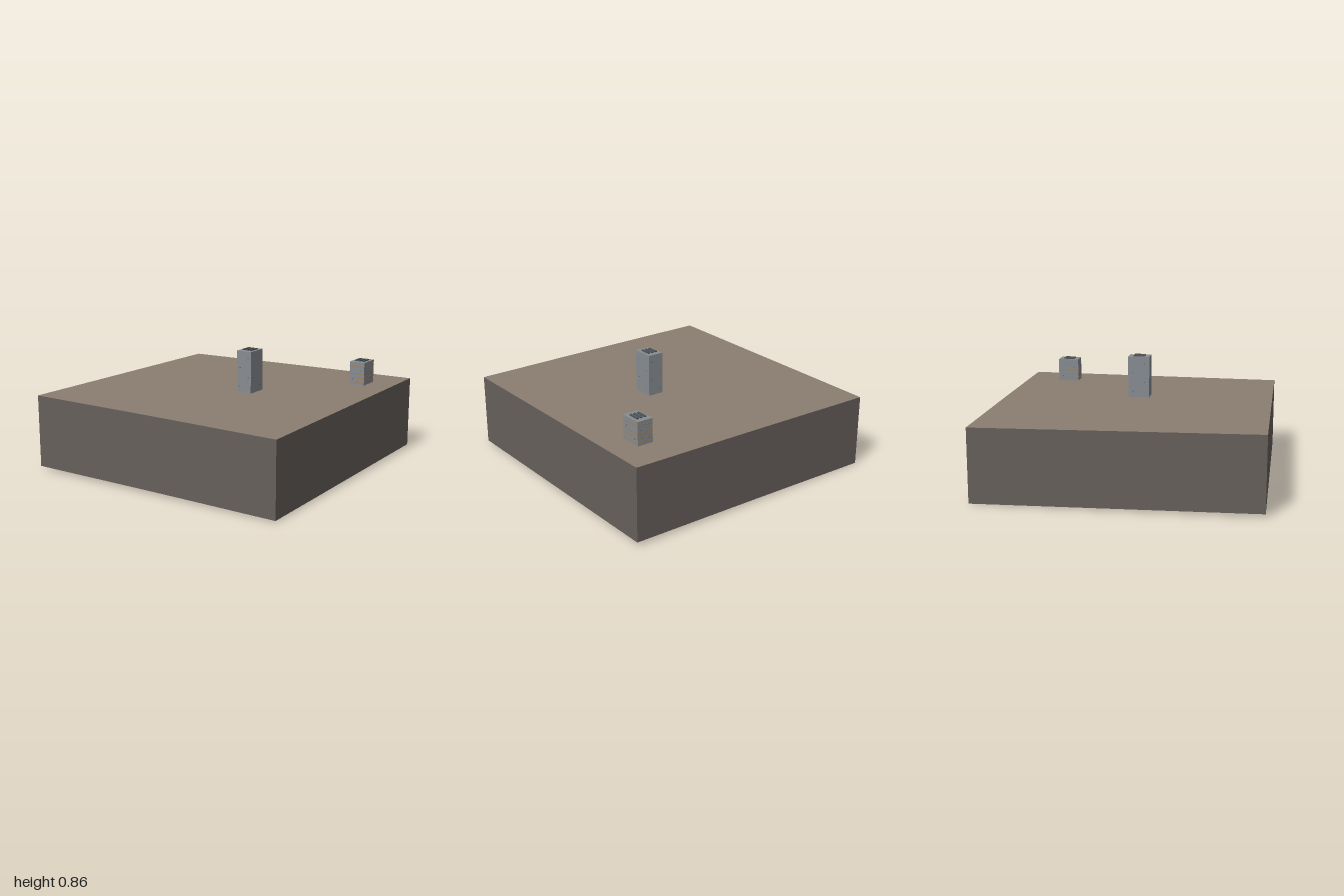
import * as THREE from 'three';

const mat = (name, color, side = THREE.FrontSide) => {
  const m = new THREE.MeshStandardMaterial({ color, side });
  m.name = name;
  return m;
};

// gently twisted ground height
const groundHeight = (x, z) =>
  0.5453 + 0.0023 * x + 0.0013 * z - 0.0098 * x * z + 0.002 * (z * z - x * x) * (1 - x * x);

export function createModel() {
  const soil = mat('soil', 0x8b7d70, THREE.DoubleSide);
  const earth = mat('cut earth', 0x67605b, THREE.DoubleSide);
  const concrete = mat('concrete grey', 0x888d91);
  const vent = mat('vent grey', 0x50555a);
  const orange = mat('rust orange', 0xb07840);
  const blue = mat('window blue', 0x4a7098);

  const model = new THREE.Group();
  model.name = 'groundWithTowers';

  const add = (parent, name, geometry, material, x = 0, y = 0, z = 0) => {
    const mesh = new THREE.Mesh(geometry, material);
    mesh.name = name;
    mesh.position.set(x, y, z);
    parent.add(mesh);
    return mesh;
  };

  // ground surface
  const ground = new THREE.PlaneGeometry(2, 2, 24, 24).rotateX(-Math.PI / 2);
  const p = ground.attributes.position;
  for (let i = 0; i < p.count; i++) p.setY(i, groundHeight(p.getX(i), p.getZ(i)));
  ground.computeVertexNormals();
  add(model, 'groundSurface', ground, soil);

  // four skirt walls, open underneath, following the ground edge
  const skirtDepth = 0.53;
  for (let k = 0; k < 4; k++) {
    const wall = new THREE.PlaneGeometry(2, 1, 24, 1).translate(0, 0, 1).rotateY(k * Math.PI / 2);
    const w = wall.attributes.position;
    for (let i = 0; i < w.count; i++) {
      const top = groundHeight(w.getX(i), w.getZ(i));
      w.setY(i, w.getY(i) > 0 ? top : top - skirtDepth);
    }
    wall.computeVertexNormals();
    add(model, 'skirtWall', wall, earth);
  }

  // rectangular tower with three roof vents and small facade accents
  const W = 0.12, D = 0.16, base = 0.5;
  const tower = (name, x, z, top, bands) => {
    const g = new THREE.Group();
    g.name = name;
    g.position.set(x, 0, z);
    model.add(g);
    add(g, 'towerBody', new THREE.BoxGeometry(W, top - base, D), concrete, 0, (top + base) / 2, 0);
    for (const i of [-1, 0, 1])
      add(g, 'roofVent', new THREE.BoxGeometry(0.016, 0.01, 0.085), vent, i * 0.03, top + 0.004, 0);

    // thin rust lines round the tower
    for (const y of bands)
      add(g, 'facadeLine', new THREE.BoxGeometry(W + 0.002, 0.004, D + 0.002), orange, 0, y, 0);

    // small windows on all four sides
    const rows = Math.round((top - 0.56) / 0.07);
    for (let r = 0; r < rows; r++) {
      const y = 0.59 + r * 0.07;
      const s = r % 2 ? 1 : -1;
      add(g, 'frontBackWindow', new THREE.BoxGeometry(0.008, 0.008, D + 0.003), blue, s * 0.035, y, 0);
      add(g, 'sideWindow', new THREE.BoxGeometry(W + 0.003, 0.008, 0.008), blue, 0, y, s * 0.045);
    }
  };
  tower('tallTower', 0.168, 0, 0.853, []);
  tower('shortTower', 0.748, -0.667, 0.724, [0.57, 0.605, 0.635, 0.69]);

  return model;
}
